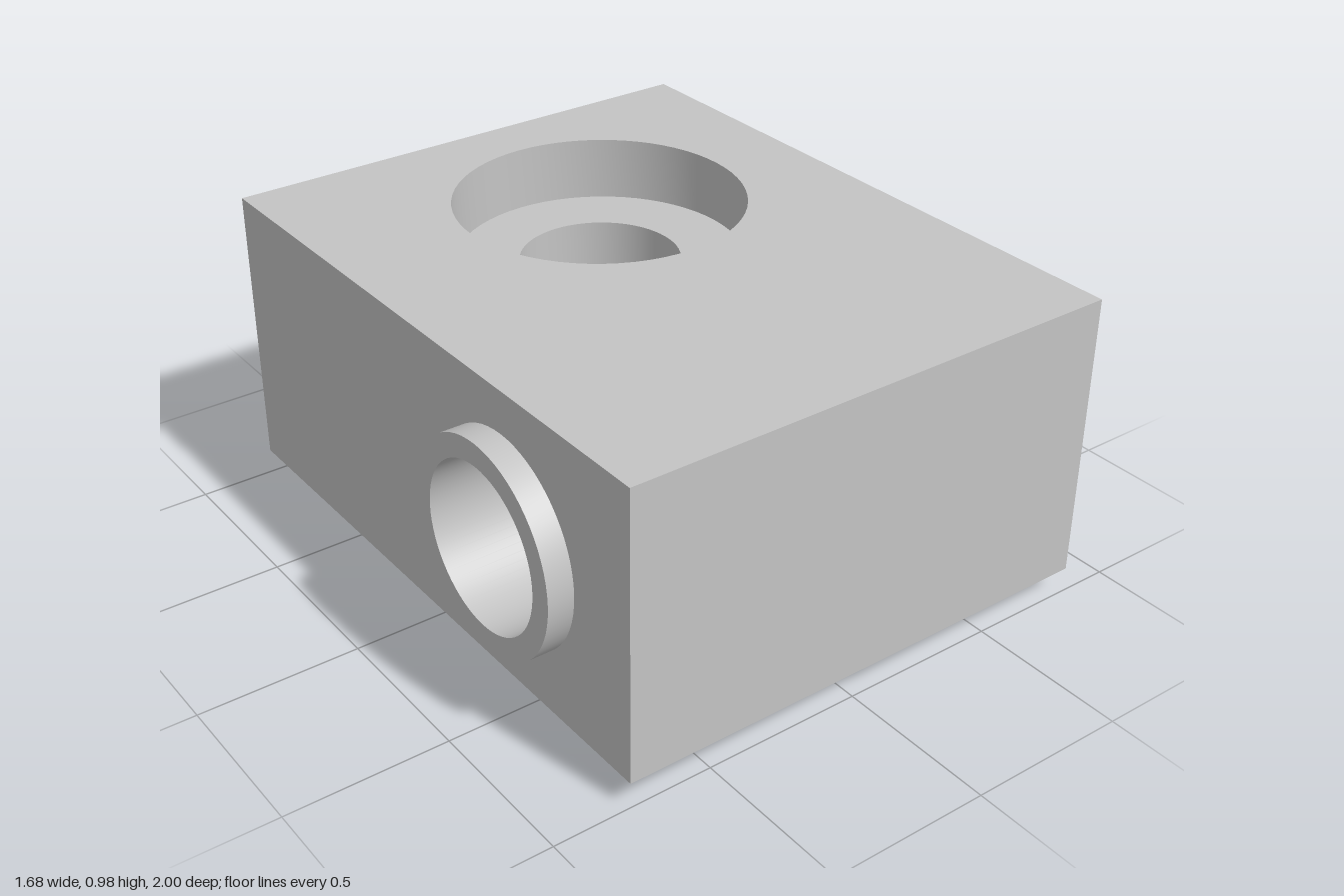
import * as THREE from 'three';
import { mergeGeometries, toCreasedNormals } from 'three/addons/utils/BufferGeometryUtils.js';

const SIDES = 64;
const W = 1.6, H = 0.9, D = 2; // block size
const CENTRE = [0.04, 0.53, 0]; // block centre
const PORT_X = 0.117, PORT_Z = -0.36; // vertical bore axis
const CROSS_Z = 0.44; // horizontal bore axis, at mid height
const BORE = 0.25, LIP = 0.32, RECESS = 0.45; // radii

// Flat rectangular face with an optional round opening [x, y, radius]
function panel(w, h, depth, hole) {
  const shape = new THREE.Shape([
    new THREE.Vector2(-w / 2, -h / 2), new THREE.Vector2(w / 2, -h / 2),
    new THREE.Vector2(w / 2, h / 2), new THREE.Vector2(-w / 2, h / 2),
  ]);
  if (hole) {
    const [x, y, r] = hole;
    shape.holes.push(new THREE.Path().absarc(x, y, r, 0, Math.PI * 2, true));
  }
  return new THREE.ShapeGeometry(shape, SIDES / 2).translate(0, 0, depth / 2);
}

// Turned surface with crisp edges, from [radius, height] pairs
function turned(profile) {
  const points = profile.map(([r, y]) => new THREE.Vector2(r, y));
  return toCreasedNormals(new THREE.LatheGeometry(points, SIDES), 0.6);
}

export function createModel() {
  const model = new THREE.Group();
  model.name = 'portedBlock';
  const grey = new THREE.MeshStandardMaterial({ color: 0xc4c4c4 });
  grey.name = 'metal grey';

  const add = (name, geometry) => {
    const mesh = new THREE.Mesh(geometry, grey);
    mesh.name = name;
    model.add(mesh);
    return mesh;
  };

  // Outer block: front, back, top, bottom, left (+x), right (-x)
  const px = PORT_X - CENTRE[0];
  const q = Math.PI / 2;
  add('block', mergeGeometries([
    panel(W, H, D),
    panel(W, H, D).rotateY(Math.PI),
    panel(W, D, H, [px, -PORT_Z, RECESS]).rotateX(-q),
    panel(W, D, H, [px, PORT_Z, LIP]).rotateX(q),
    panel(D, H, W, [-CROSS_Z, 0, BORE]).rotateY(q),
    panel(D, H, W, [CROSS_Z, 0, LIP]).rotateY(-q),
  ])).position.set(...CENTRE);

  // Vertical bore: top recess, through hole and bottom collar
  add('verticalBoreAndCollar', turned([
    [RECESS, 0.98], [RECESS, 0.78], [BORE, 0.78], [BORE, 0], [LIP, 0], [LIP, 0.08],
  ])).position.set(PORT_X, 0, PORT_Z);

  // Horizontal bore: through hole and side collar
  add('horizontalBoreAndCollar', turned([
    [BORE, 0.84], [BORE, -0.84], [LIP, -0.84], [LIP, -0.76],
  ]).rotateZ(-q)).position.set(0, CENTRE[1], CROSS_Z);

  return model;
}
